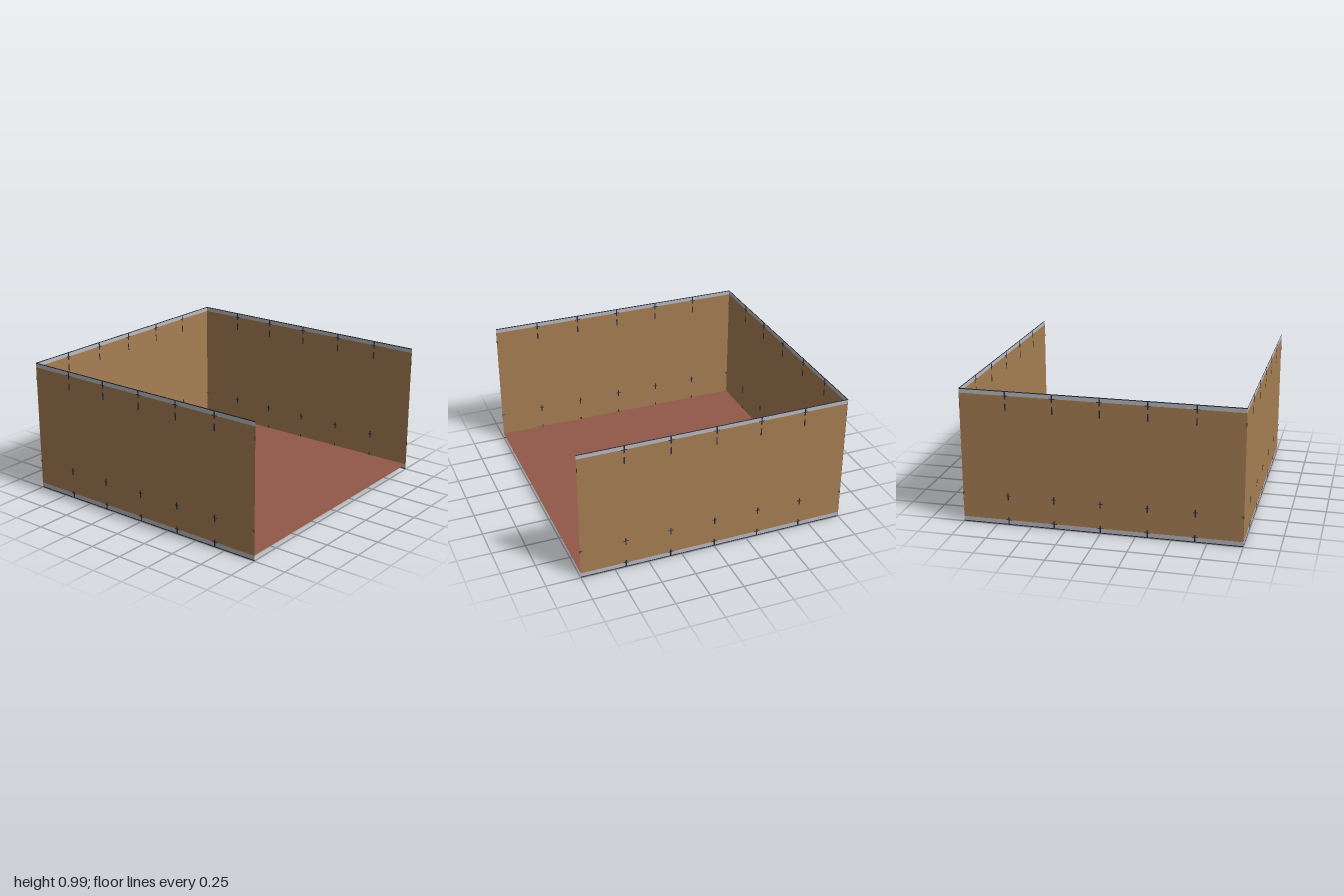
import * as THREE from 'three';

const HEIGHT = 0.99;
const FLOOR_Y = 0.04;

function material(name, color) {
  const m = new THREE.MeshStandardMaterial({ color, side: THREE.DoubleSide });
  m.name = name;
  return m;
}

export function createModel() {
  const wood = material('tan board', 0xa67e53);
  const trim = material('pale grey trim', 0xbcbcc0);
  const navy = material('dark navy', 0x2b3045);
  const red = material('red brown floor', 0x925848);

  const model = new THREE.Group();
  model.name = 'openTray';

  // One wall in its own xy plane: horizontal bands plus fastener marks
  function makeWall(name) {
    const wall = new THREE.Group();
    wall.name = name;

    const bands = [
      ['bottomEdge', 0, 0.007, navy],
      ['bottomTrim', 0.007, 0.037, trim],
      ['board', 0.037, 0.955, wood],
      ['topTrim', 0.955, 0.983, trim],
      ['topEdge', 0.983, HEIGHT, navy],
    ];
    for (const [label, y0, y1, mat] of bands) {
      const band = new THREE.Mesh(new THREE.PlaneGeometry(2, y1 - y0), mat);
      band.name = label;
      band.position.y = (y0 + y1) / 2;
      wall.add(band);
    }

    // Thin plate showing on both faces, clipped at the wall ends
    function mark(x, y, w, h) {
      const x0 = Math.max(-1, x - w / 2);
      const x1 = Math.min(1, x + w / 2);
      const plate = new THREE.Mesh(new THREE.BoxGeometry(x1 - x0, h, 0.004), navy);
      plate.name = 'fastener';
      plate.position.set((x0 + x1) / 2, y, 0);
      wall.add(plate);
    }
    for (let i = -3; i <= 3; i++) {
      const x = i / 3;
      const end = Math.abs(i) === 3;
      // Upright slots
      mark(x, 0.872, 0.009, end ? 0.03 : 0.054);
      mark(x, 0.215, 0.009, end ? 0.02 : 0.054);
      mark(x, 0.22, 0.034, 0.005);
      if (end) continue;
      // Joints crossing the trims
      mark(x, 0.959, 0.009, 0.058);
      mark(x, 0.03, 0.009, 0.056);
      mark(x, 0.955, 0.042, 0.005);
      mark(x, 0.038, 0.042, 0.005);
    }
    return wall;
  }

  // Back wall and the two side walls; the front is open
  const back = makeWall('backWall');
  back.position.z = -0.998;
  model.add(back);
  for (const side of [-1, 1]) {
    const wall = makeWall(side > 0 ? 'leftWall' : 'rightWall');
    wall.rotation.y = side * Math.PI / 2;
    wall.position.x = side * 0.998;
    model.add(wall);
  }

  // Floor sheet, raised level with the top of the lower trim
  const floor = new THREE.Mesh(new THREE.PlaneGeometry(2, 2), red);
  floor.name = 'floor';
  floor.rotation.x = -Math.PI / 2;
  floor.position.y = FLOOR_Y;
  model.add(floor);

  return model;
}
